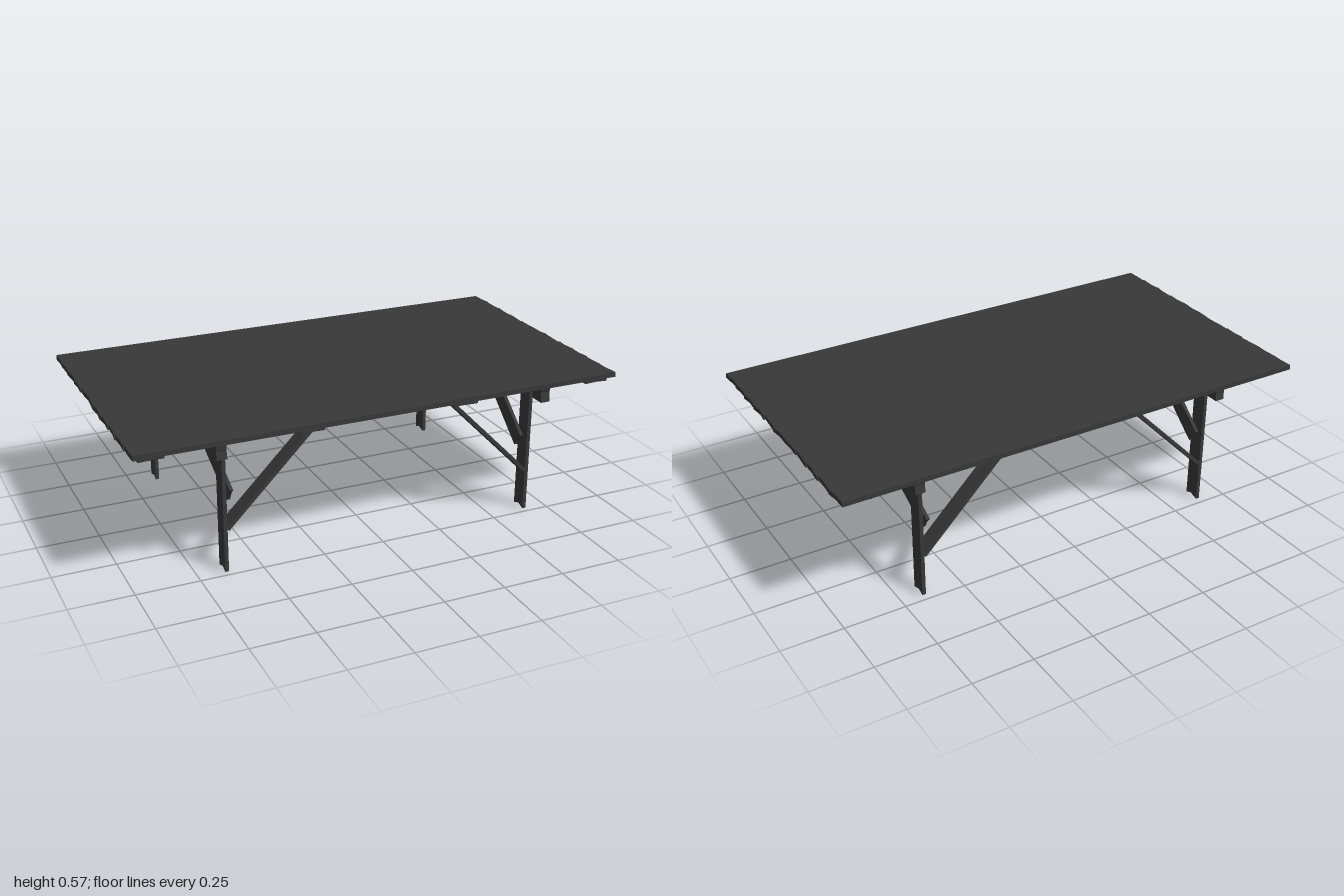
import * as THREE from 'three';

const wood = new THREE.MeshStandardMaterial({ color: 0x383838, flatShading: true });
const V = (x, y, z) => new THREE.Vector3(x, y, z);

// Small seeded generator for the uneven carpentry
let seed = 7;
const jitter = (a) => {
  seed = (seed * 16807) % 2147483647;
  return (seed / 2147483647 - 0.5) * 2 * a;
};

// Board from a to b with roughly sawn ends; "across" is the direction of its width
function board(name, a, b, across, width, thick, notchA = 0, notchB = 0, skew = 0) {
  const l = a.distanceTo(b) / 2, w = width / 2;
  const k = () => Math.abs(jitter(skew));
  const shape = new THREE.Shape([
    [-l + k(), -w], [l - k(), -w], [l - notchB, jitter(w * 0.3)],
    [l - k(), w], [-l + k(), w], [-l + notchA, jitter(w * 0.3)],
  ].map(([x, y]) => new THREE.Vector2(x, y)));
  const geo = new THREE.ExtrudeGeometry(shape, { depth: thick, bevelEnabled: false });
  geo.translate(0, 0, -thick / 2);
  const u = b.clone().sub(a).normalize();
  const n = u.clone().cross(across).normalize();
  const v = n.clone().cross(u);
  geo.applyMatrix4(new THREE.Matrix4().makeBasis(u, v, n));
  const mesh = new THREE.Mesh(geo, wood);
  mesh.name = name;
  mesh.position.copy(a).add(b).multiplyScalar(0.5);
  return mesh;
}

export function createModel() {
  seed = 7;
  const table = new THREE.Group();
  table.name = 'table';
  const alongZ = V(0, 0, 1), alongX = V(1, 0, 0), alongY = V(0, 1, 0);

  // Table top planks
  const top = new THREE.Group();
  top.name = 'tableTop';
  for (let i = 0; i < 11; i++) {
    const z = (i - 5) * 0.1007 - 0.001;
    top.add(board('plank', V(-1, 0.562, z + jitter(0.001)), V(1, 0.562, z + jitter(0.001)),
      alongZ, 0.099, 0.02, 0.007, 0.007, 0.012));
  }
  table.add(top);

  // Battens under the top
  for (const x of [-0.92, -0.31, 0.33, 0.92])
    table.add(board('batten', V(x, 0.543, -0.53), V(x, 0.543, 0.535), alongX, 0.098, 0.019, 0.006, 0.006, 0.004));

  // Trestle at each end
  for (const s of [-1, 1]) {
    const X = (x) => s * x + 0.01;
    const trestle = new THREE.Group();
    trestle.name = s < 0 ? 'rightTrestle' : 'leftTrestle';
    trestle.add(board('crossBeam', V(X(0.673), 0.521, -0.53), V(X(0.673), 0.521, 0.54),
      alongY, 0.063, 0.04, 0.008, 0.008, 0.006));

    for (const t of [-1, 1]) {
      const z = t * 0.44 + 0.002;
      trestle.add(board('leg', V(X(0.6475), 0, z), V(X(0.6475), 0.552, z), alongZ, 0.065, 0.015, 0.012));
      // Brace from leg up to the cross beam
      trestle.add(board('legBrace', V(X(0.618), 0.302, t * 0.45), V(X(0.643), 0.52, t * 0.139),
        V(0, 0.82, t * 0.57), 0.066, 0.014, 0.004, 0.004));
      // Long brace from leg to the inner batten
      trestle.add(board('longBrace', V(X(0.639), 0.174, z), V(X(0.282), 0.533, z),
        alongZ, 0.066, 0.015, 0.003, 0.003));
    }
    table.add(trestle);
  }
  return table;
}
